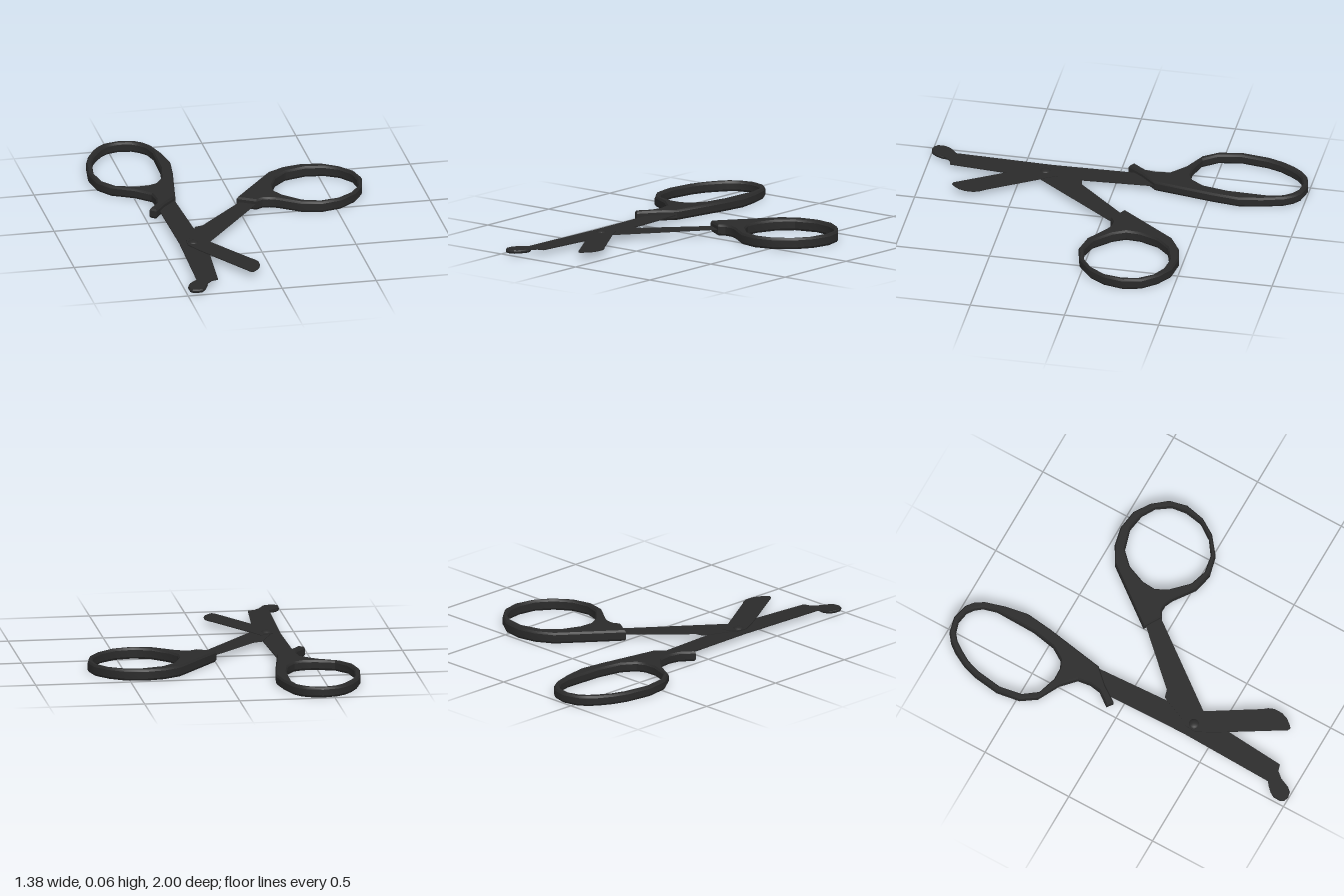
import * as THREE from 'three';
import { toCreasedNormals } from 'three/addons/utils/BufferGeometryUtils.js';

// Flat plate drawn in plan as clockwise [x, z] points, standing between heights y0 and y1
function plate(name, material, outline, y0, y1, bevel = 0, hole = null) {
  const toPoints = (list) => list.map(([x, z]) => new THREE.Vector2(x, -z));
  const shape = new THREE.Shape(toPoints(outline));
  // The hole runs the other way round, so that its walls face inwards
  if (hole) shape.holes.push(new THREE.Path(toPoints(hole).reverse()));
  const geometry = new THREE.ExtrudeGeometry(shape, {
    depth: y1 - y0 - 2 * bevel,
    bevelEnabled: bevel > 0,
    bevelThickness: bevel,
    bevelSize: bevel * 0.6,
    bevelOffset: -bevel * 0.6,
    bevelSegments: 1,
  });
  geometry.rotateX(-Math.PI / 2);
  const mesh = new THREE.Mesh(toCreasedNormals(geometry, 0.5), material);
  mesh.name = name;
  mesh.position.y = y0 + bevel;
  return mesh;
}

export function createModel() {
  const group = new THREE.Group();
  group.name = 'shears';
  const black = new THREE.MeshStandardMaterial({ color: 0x2a2a2a });
  black.name = 'matt black';

  // Long oval finger handle with a small spur
  group.add(plate('ovalHandle', black, [
    [-0.44, -1], [-0.36, -0.98], [-0.32, -0.948], [-0.29, -0.9], [-0.258, -0.79],
    [-0.238, -0.67], [-0.255, -0.53], [-0.31, -0.21], [-0.385, -0.13], [-0.445, -0.045],
    [-0.478, -0.07], [-0.425, -0.14], [-0.415, -0.2], [-0.425, -0.27], [-0.5, -0.34],
    [-0.615, -0.4], [-0.67, -0.48], [-0.69, -0.605], [-0.67, -0.75], [-0.643, -0.83],
    [-0.605, -0.9], [-0.57, -0.945], [-0.525, -0.98],
  ], 0.001, 0.055, 0.011, [
    [-0.45, -0.968], [-0.385, -0.957], [-0.35, -0.932], [-0.32, -0.895], [-0.3, -0.82],
    [-0.305, -0.6], [-0.33, -0.47], [-0.375, -0.4], [-0.42, -0.38], [-0.485, -0.378],
    [-0.585, -0.41], [-0.64, -0.485], [-0.66, -0.605], [-0.64, -0.745], [-0.616, -0.815],
    [-0.58, -0.875], [-0.547, -0.92], [-0.51, -0.95],
  ]));

  // Round thumb handle
  group.add(plate('roundHandle', black, [
    [-0.005, -0.115], [0.225, -0.415], [0.315, -0.467], [0.415, -0.488], [0.523, -0.472],
    [0.605, -0.417], [0.668, -0.34], [0.69, -0.245], [0.668, -0.14], [0.615, -0.055],
    [0.523, 0.018], [0.415, 0.044], [0.315, 0.022], [0.2, -0.06], [0.16, -0.077],
    [0.125, -0.078], [0.09, -0.058],
  ], 0, 0.059, 0.011, [
    [0.435, -0.443], [0.53, -0.428], [0.6, -0.387], [0.65, -0.315], [0.661, -0.235],
    [0.645, -0.14], [0.59, -0.06], [0.51, -0.003], [0.415, 0.014], [0.325, -0.015],
    [0.24, -0.1], [0.205, -0.165], [0.21, -0.24], [0.25, -0.34], [0.32, -0.41],
  ]));

  // Long lower blade, its tang running into the oval handle
  group.add(plate('longBlade', black, [
    [-0.42, -0.11], [-0.41, 0.35], [-0.425, 0.865], [-0.445, 0.88], [-0.47, 0.905],
    [-0.485, 0.935], [-0.485, 0.975], [-0.45, 0.995], [-0.41, 0.98], [-0.38, 0.92],
    [-0.35, 0.885], [-0.315, 0.875], [-0.28, 0.45], [-0.295, 0.2], [-0.315, -0.21],
    [-0.36, -0.25], [-0.4, -0.22],
  ], 0.024, 0.03));

  // Blunt foot under the tip of the long blade
  group.add(plate('bluntFoot', black, [
    [-0.44, 0.89], [-0.47, 0.905], [-0.487, 0.935], [-0.487, 0.975], [-0.475, 0.992],
    [-0.45, 1], [-0.42, 0.993], [-0.4, 0.97], [-0.38, 0.925], [-0.385, 0.895],
  ], 0.01, 0.0295, 0.007));

  // Short upper blade beyond the pivot
  group.add(plate('shortBlade', black, [
    [-0.3, 0.3], [-0.37, 0.34], [-0.375, 0.4], [-0.335, 0.48], [-0.13, 0.818],
    [-0.115, 0.825], [-0.1, 0.812], [-0.075, 0.78], [-0.063, 0.745], [-0.063, 0.7],
    [-0.075, 0.67], [-0.095, 0.645], [-0.255, 0.385],
  ], 0.03, 0.035));

  // Thin tang from the pivot into the round handle
  group.add(plate('shortBladeTang', black, [
    [0.03, -0.13], [-0.245, 0.16], [-0.285, 0.17], [-0.3, 0.2], [-0.35, 0.32],
    [-0.255, 0.385], [0.085, -0.06], [0.09, -0.1],
  ], 0.03, 0.0325));

  // Domed pivot rivet through both blades
  const rivet = new THREE.Mesh(new THREE.SphereGeometry(0.028, 16, 8), black);
  rivet.name = 'pivotRivet';
  rivet.scale.y = 0.45;
  rivet.position.set(-0.34, 0.031, 0.375);
  group.add(rivet);

  return group;
}
